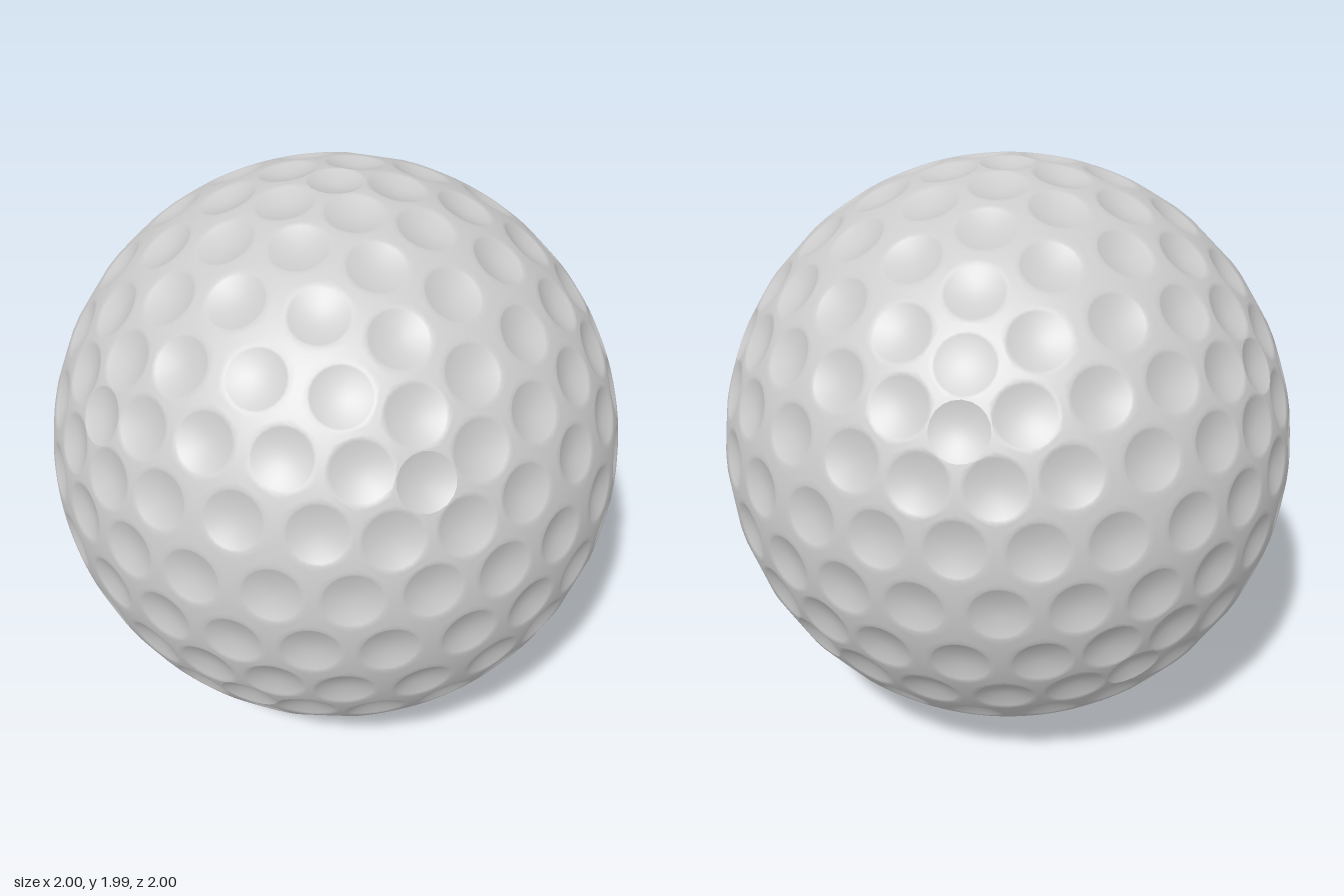
import * as THREE from 'three';
import { mergeVertices } from 'three/addons/utils/BufferGeometryUtils.js';

const DEPTH = 0.025;                               // bowl depth below the ball's skin
const R_SMALL = 0.094;                             // the 12 icosahedron corners
const R_LARGE = 0.1;                               // every other dimple
const BOWL = [0, 0.25, 0.5, 0.75, 0.92, 1];        // ring positions inside a dimple
const LAND = [0, 0.5, 1];                          // ring positions between rim and cell border
const STEPS = 2;

// Triangle corners of a subdivided icosahedron, turned so one corner points up and one faces front
function icoPoints(detail) {
  const t = (1 + Math.sqrt(5)) / 2;
  const x = new THREE.Vector3(0, 0, -1);
  const y = new THREE.Vector3(-1, t, 0).normalize();
  const z = new THREE.Vector3(t, 1, 0).normalize();
  const geo = new THREE.IcosahedronGeometry(1, detail);
  geo.applyMatrix4(new THREE.Matrix4().makeBasis(x, y, z).transpose());
  const p = geo.attributes.position;
  return Array.from({ length: p.count }, (_, i) => new THREE.Vector3().fromBufferAttribute(p, i).normalize());
}

// Point at a given angle from c, heading towards b, on the unit sphere
function along(c, b, angle) {
  const side = b.clone().addScaledVector(c, -c.dot(b)).normalize();
  return c.clone().multiplyScalar(Math.cos(angle)).addScaledVector(side, Math.sin(angle));
}

// Spoke of points from a dimple's centre over the bowl, and from the rim to the cell border
function spoke(c, b, r) {
  const reach = c.angleTo(b);
  return {
    bowl: BOWL.map(s => along(c, b, s * r).multiplyScalar(1 - DEPTH * (1 - s * s))),
    land: LAND.map(s => along(c, b, r + s * (reach - r))),
  };
}

// Triangles between two neighbouring spokes
function strip(out, p, q) {
  const tri = (...v) => v.forEach(a => out.push(a.x, a.y, a.z));
  for (let i = 0; i < p.length - 1; i++) {
    tri(p[i], p[i + 1], q[i + 1]);
    if (p[i].distanceTo(q[i]) > 1e-5) tri(p[i], q[i + 1], q[i]);
  }
}

function smoothMesh(name, coords) {
  let geo = new THREE.BufferGeometry();
  geo.setAttribute('position', new THREE.Float32BufferAttribute(coords, 3));
  geo = mergeVertices(geo, 1e-4);
  geo.computeVertexNormals();
  const mesh = new THREE.Mesh(geo, new THREE.MeshStandardMaterial({ color: 0xcccccc, roughness: 0.6 }));
  mesh.name = name;
  return mesh;
}

export function createModel() {
  const corners = icoPoints(0);
  const points = icoPoints(4);
  const isCorner = p => corners.some(c => c.dot(p) > 0.9999);
  const skin = [], cornerBowls = [];

  for (let i = 0; i < points.length; i += 3) {
    const tri = points.slice(i, i + 3);
    const radius = tri.map(p => (isCorner(p) ? R_SMALL : R_LARGE));
    const centre = tri[0].clone().add(tri[1]).add(tri[2]).normalize();
    const split = (a, b) => tri[a].clone().lerp(tri[b], radius[a] / (radius[a] + radius[b])).normalize();

    // Each triangle corner owns a sector of the dimple centred on it
    for (let a = 0; a < 3; a++) {
      const ends = [split(a, (a + 1) % 3), centre, split(a, (a + 2) % 3)];
      const spokes = [];
      for (let k = 0; k <= 2 * STEPS; k++) {
        const half = Math.min(1, Math.floor(k / STEPS));
        const border = ends[half].clone().lerp(ends[half + 1], k / STEPS - half).normalize();
        spokes.push(spoke(tri[a], border, radius[a]));
      }
      for (let k = 0; k < 2 * STEPS; k++) {
        strip(radius[a] === R_SMALL ? cornerBowls : skin, spokes[k].bowl, spokes[k + 1].bowl);
        strip(skin, spokes[k].land, spokes[k + 1].land);
      }
    }
  }

  const ball = new THREE.Group();
  ball.name = 'golfBall';
  // Corner dimples are a separate mesh so their rims stay crisp
  ball.add(smoothMesh('dimpledSkin', skin), smoothMesh('cornerDimples', cornerBowls));
  ball.position.y = Math.cos(R_SMALL);             // rests on the rim of its lowest dimple

  const model = new THREE.Group();
  model.name = 'ball';
  model.add(ball);
  return model;
}
